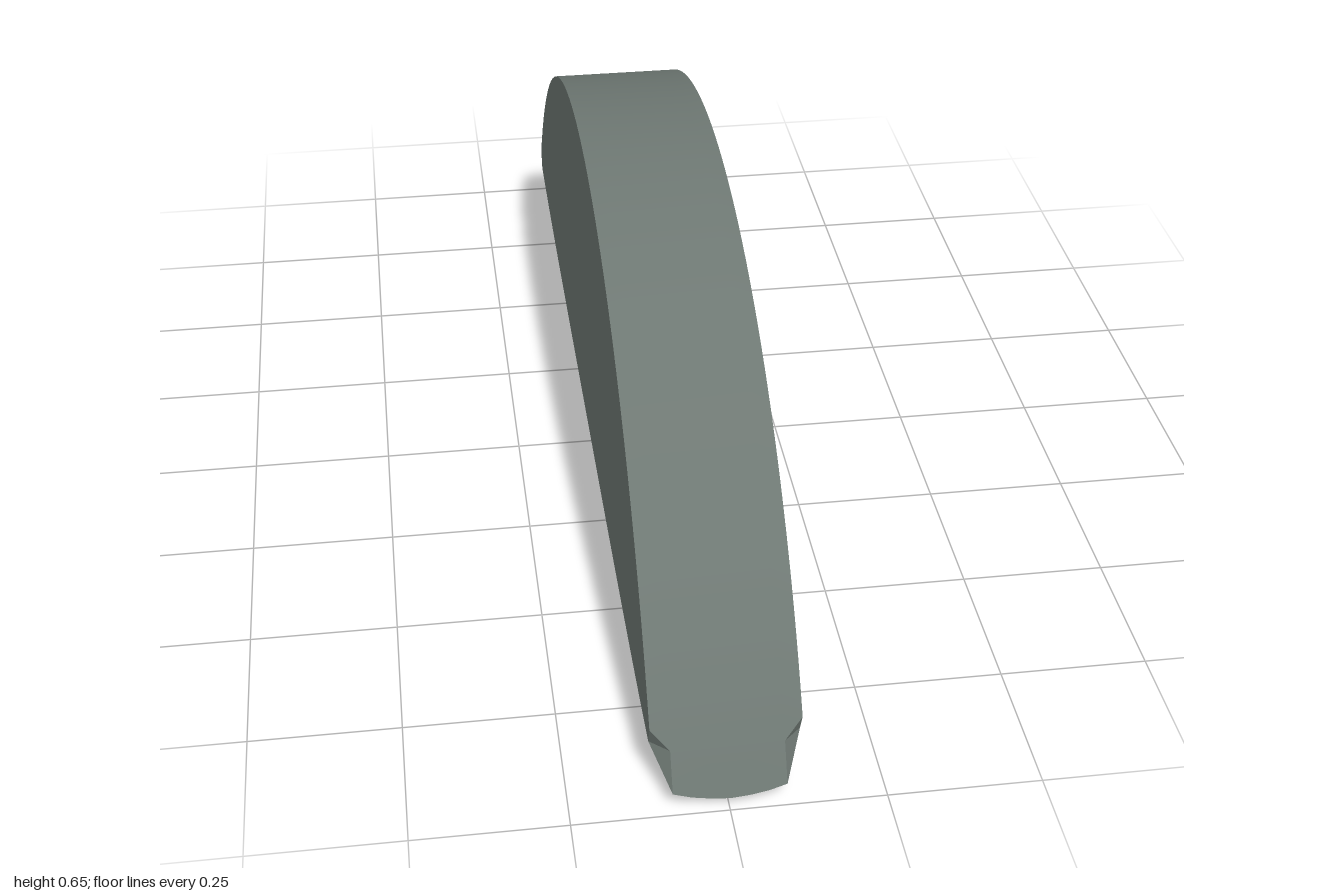
import * as THREE from 'three';
import { toCreasedNormals } from 'three/addons/utils/BufferGeometryUtils.js';

const R = 1.1125, CY = -0.4575;               // circle of the curved top
const HALF = 0.12, INNER = 0.09;              // half widths of body and tips
const arcZ = (y) => Math.sqrt(R * R - (y - CY) ** 2);

// Mirrors the right half of a cross-section, given from the top centre downwards
function mirrorRing(half) {
  const left = half.map((p) => new THREE.Vector3(-p.x, p.y, p.z));
  const bottomUp = half.slice(0, -1).reverse();
  const n = bottomUp.length;
  // outer top, inner top, across, down the left side, up the right side
  return [half[1], half[0], ...left, ...bottomUp.slice(0, n - 2)];
}

// Section of the body: flat sides, faceted round underside
function bodyRing(angle) {
  const z = R * Math.sin(angle), y = CY + R * Math.cos(angle);
  const zb = z * 0.93 / 0.945, lift = 0.025 * zb ** 4;
  const under = [[HALF, 0.075], [INNER, 0.025], [0.06, 0.01], [0.03, 0.002], [0, 0]];
  return mirrorRing([
    new THREE.Vector3(INNER, y, z),
    new THREE.Vector3(HALF, y, z),
    ...under.map(([x, h]) => new THREE.Vector3(x, h + lift, zb)),
  ]);
}

// Narrow tip, lying on the circle; the corners shrink to leave the notches
function tipRing(sign, edge) {
  const pts = [[INNER, 0.1], [INNER, 0.1], [INNER, 0.1], ...edge];
  return mirrorRing(pts.map(([x, y]) => new THREE.Vector3(x, y, sign * arcZ(y))));
}

function bladeGeometry() {
  const rings = [tipRing(-1, [[INNER, 0.055], [0.06, 0.035], [0.03, 0.03], [0, 0.028]])];
  const steps = 56, max = Math.asin(0.945 / R);
  for (let i = 0; i <= steps; i++) rings.push(bodyRing(-max + (2 * max * i) / steps));
  rings.push(tipRing(1, [[INNER, 0.04], [0.06, 0.033], [0.03, 0.029], [0, 0.027]]));

  const out = [];
  const tri = (a, b, c) => {
    if (a.equals(b) || b.equals(c) || c.equals(a)) return;
    for (const p of [a, b, c]) out.push(p.x, p.y, p.z);
  };
  const n = rings[0].length;

  // Skin between neighbouring sections, with mirrored diagonals
  for (let j = 0; j < rings.length - 1; j++) {
    for (let i = 0; i < n; i++) {
      const k = (i + 1) % n;
      const a = rings[j][i], b = rings[j][k], c = rings[j + 1][k], d = rings[j + 1][i];
      if ((a.x + b.x > 0) === (a.z + d.z > 0)) { tri(a, b, d); tri(b, c, d); }
      else { tri(a, b, c); tri(a, c, d); }
    }
  }

  // Tip faces
  for (const [ring, sign] of [[rings[0], -1], [rings[rings.length - 1], 1]]) {
    const mid = new THREE.Vector3(0, 0.065, sign * arcZ(0.065));
    for (let i = 0; i < n; i++) {
      const p = ring[i], q = ring[(i + 1) % n];
      if (sign > 0) tri(mid, p, q); else tri(mid, q, p);
    }
  }

  const geo = new THREE.BufferGeometry();
  geo.setAttribute('position', new THREE.Float32BufferAttribute(out, 3));
  return toCreasedNormals(geo, 0.15);
}

export function createModel() {
  const group = new THREE.Group();
  group.name = 'halfMoonKey';
  const metal = new THREE.MeshStandardMaterial({ color: 0x6e7873 });
  metal.name = 'grey green metal';
  const body = new THREE.Mesh(bladeGeometry(), metal);
  body.name = 'halfMoonBody';
  group.add(body);
  return group;
}
